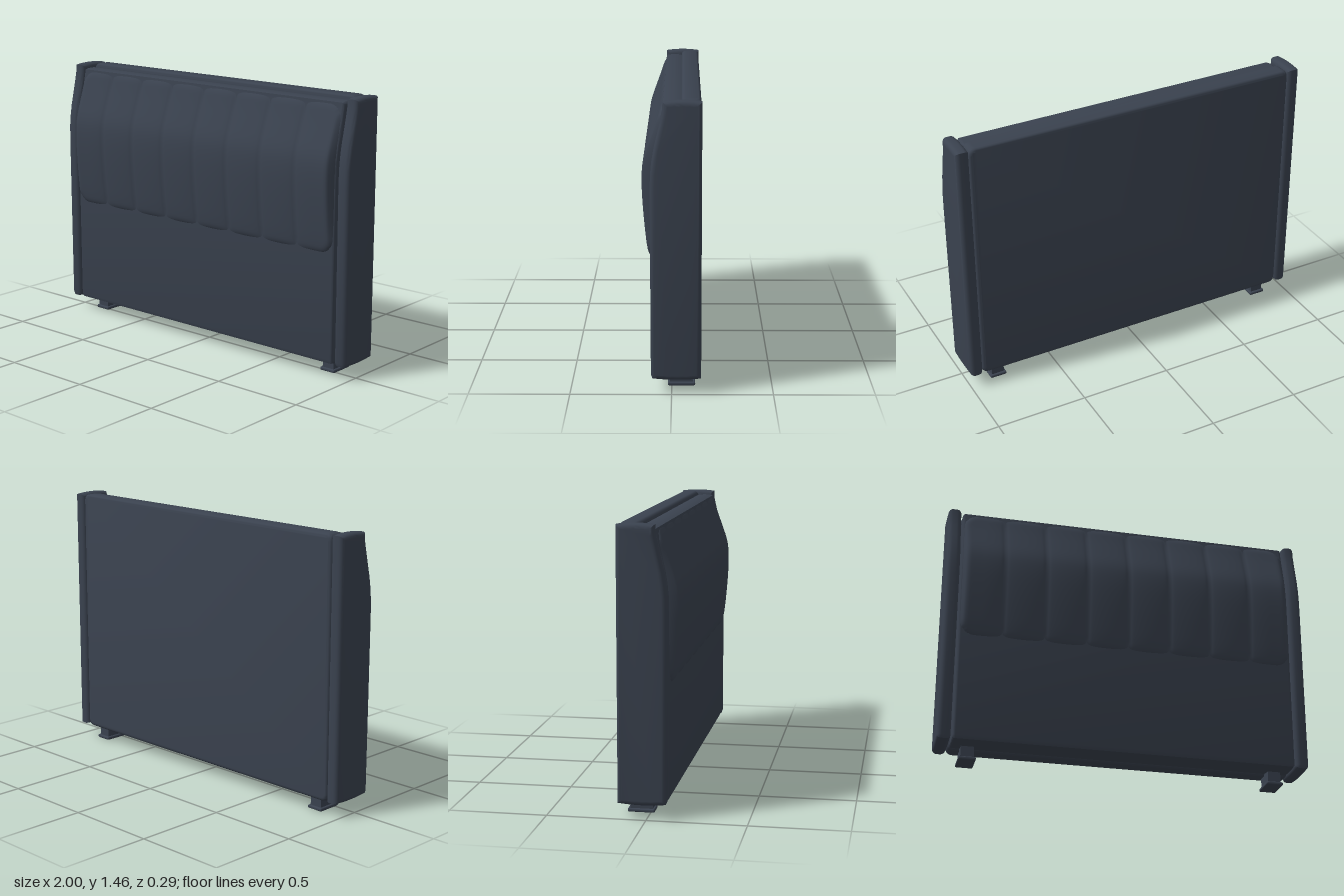
import * as THREE from 'three';
import { toCreasedNormals } from 'three/addons/utils/BufferGeometryUtils.js';
import { RoundedBoxGeometry } from 'three/addons/geometries/RoundedBoxGeometry.js';

const fabric = new THREE.MeshStandardMaterial({ color: 0x3a424f });
fabric.name = 'slate fabric';

// front depth as a function of height, interpolated through a few [y, z] points
function curveZ(points, y) {
  if (y <= points[0][0]) return points[0][1];
  for (let i = 1; i < points.length; i++) {
    const [y0, z0] = points[i - 1], [y1, z1] = points[i];
    if (y <= y1) return z0 + (z1 - z0) * (y - y0) / (y1 - y0);
  }
  return points[points.length - 1][1];
}
const FRAME_FRONT = [[0.1, 0.102], [1.02, 0.105], [1.1, 0.103], [1.16, 0.097], [1.22, 0.087],
  [1.28, 0.073], [1.34, 0.059], [1.4, 0.046], [1.45, 0.042]];
const padCurve = new THREE.SplineCurve([[0.655, 0.109], [0.75, 0.124], [0.9, 0.139], [1.03, 0.146],
  [1.12, 0.143], [1.18, 0.131], [1.25, 0.107], [1.33, 0.078], [1.4, 0.055], [1.42, 0.05]]
  .map(([y, z]) => new THREE.Vector2(y, z)));
const PAD_FRONT = padCurve.getPoints(60).map(p => [p.x, p.y]);

// side profile (z, y) extruded across x, centred on x = 0
function profileExtrude(backZ, y0, y1, crown, width, bevel) {
  const s = new THREE.Shape();
  s.moveTo(backZ, y0 + crown);
  s.quadraticCurveTo((backZ + 0.1) / 2, y0 - crown, 0.095, y0 + crown);
  s.lineTo(0.102, y0 + 0.025);
  for (const [y, z] of FRAME_FRONT.slice(1, -1)) s.lineTo(z, y);
  s.lineTo(0.043, y1 - crown);
  s.quadraticCurveTo((backZ + 0.04) / 2, y1 + crown, backZ, y1 - crown);
  s.closePath();
  const depth = width - 2 * bevel;
  const g = new THREE.ExtrudeGeometry(s, {
    depth, bevelEnabled: true, bevelThickness: bevel, bevelSize: bevel,
    bevelOffset: -bevel, bevelSegments: 4, curveSegments: 10,
  });
  g.translate(0, 0, -depth / 2);
  g.rotateY(-Math.PI / 2);
  return toCreasedNormals(g, 0.6);
}

// rounded rectangle slab with bevelled rims
function slab(w, y0, y1, z0, z1, r, bevel) {
  const s = new THREE.Shape(), x = w / 2;
  s.moveTo(-x + r, y0);
  s.lineTo(x - r, y0);
  s.quadraticCurveTo(x, y0, x, y0 + r);
  s.lineTo(x, y1 - r);
  s.quadraticCurveTo(x, y1, x - r, y1);
  s.lineTo(-x + r, y1);
  s.quadraticCurveTo(-x, y1, -x, y1 - r);
  s.lineTo(-x, y0 + r);
  s.quadraticCurveTo(-x, y0, -x + r, y0);
  const g = new THREE.ExtrudeGeometry(s, {
    depth: z1 - z0 - 2 * bevel, bevelEnabled: true, bevelThickness: bevel,
    bevelSize: bevel, bevelOffset: -bevel, bevelSegments: 4, curveSegments: 6,
  });
  g.translate(0, 0, z0 + bevel);
  return toCreasedNormals(g, 0.6);
}

// channelled cushion: a plane puffed out, with rounded corners and seams
function cushion() {
  const W = 0.915, H = 0.38, yc = 1.04, r = 0.08, channels = 8;
  const g = new THREE.PlaneGeometry(2, 2, channels * 16, 44);
  const p = g.attributes.position;
  for (let i = 0; i < p.count; i++) {
    const v = Math.sin(p.getY(i) * Math.PI / 2);
    const y = yc + v * H;
    const over = Math.max(0, Math.abs(v) * H - (H - r));
    const half = W - r + Math.sqrt(Math.max(0, r * r - over * over));
    const x = THREE.MathUtils.clamp(p.getX(i) * W, -half, half);
    // distance from the rounded outline
    const qx = Math.abs(x) - (W - r), qy = Math.abs(v) * H - (H - r);
    const edge = r - Math.hypot(Math.max(qx, 0), Math.max(qy, 0)) - Math.min(Math.max(qx, qy), 0);
    const t = 1 - THREE.MathUtils.clamp(edge / 0.035, 0, 1);
    const rise = Math.sqrt(1 - t * t);
    // seams between channels, none at the outer ends
    const c = (x / W + 1) / 2 * channels;
    const inner = c > 0.5 && c < channels - 0.5;
    const groove = inner ? 0.013 * (1 - Math.pow(Math.abs(Math.sin(Math.PI * c)), 0.45)) : 0;
    const back = curveZ(FRAME_FRONT, y) - 0.008;
    const full = Math.max(curveZ(PAD_FRONT, y), back + 0.009);
    const dip = Math.min(groove, (full - back) * 0.6);
    p.setXYZ(i, x, y, back + (full - back - dip) * rise);
  }
  g.computeVertexNormals();
  return g;
}

export function createModel() {
  const model = new THREE.Group();
  model.name = 'headboard';
  const add = (name, geometry, x = 0, y = 0, z = 0) => {
    const m = new THREE.Mesh(geometry, fabric);
    m.name = name;
    m.position.set(x, y, z);
    model.add(m);
  };

  // main panels
  add('backPanel', slab(1.86, 0.07, 1.452, -0.142, -0.045, 0.04, 0.02));
  add('frontPanel', profileExtrude(-0.05, 0.075, 1.432, 0.006, 1.84, 0.015));
  add('channelCushion', cushion());

  // side wings and feet, mirrored
  const wing = profileExtrude(-0.145, 0.07, 1.455, 0.007, 0.072, 0.024);
  const stem = new THREE.BoxGeometry(0.07, 0.08, 0.115);
  const plate = new RoundedBoxGeometry(0.092, 0.018, 0.137, 2, 0.007);
  for (const [side, s] of [['left', 1], ['right', -1]]) {
    add(side + 'Wing', wing, s * 0.964);
    add(side + 'FootStem', stem, s * 0.83, 0.054, -0.0475);
    add(side + 'FootPlate', plate, s * 0.83, 0.009, -0.0485);
  }
  return model;
}
